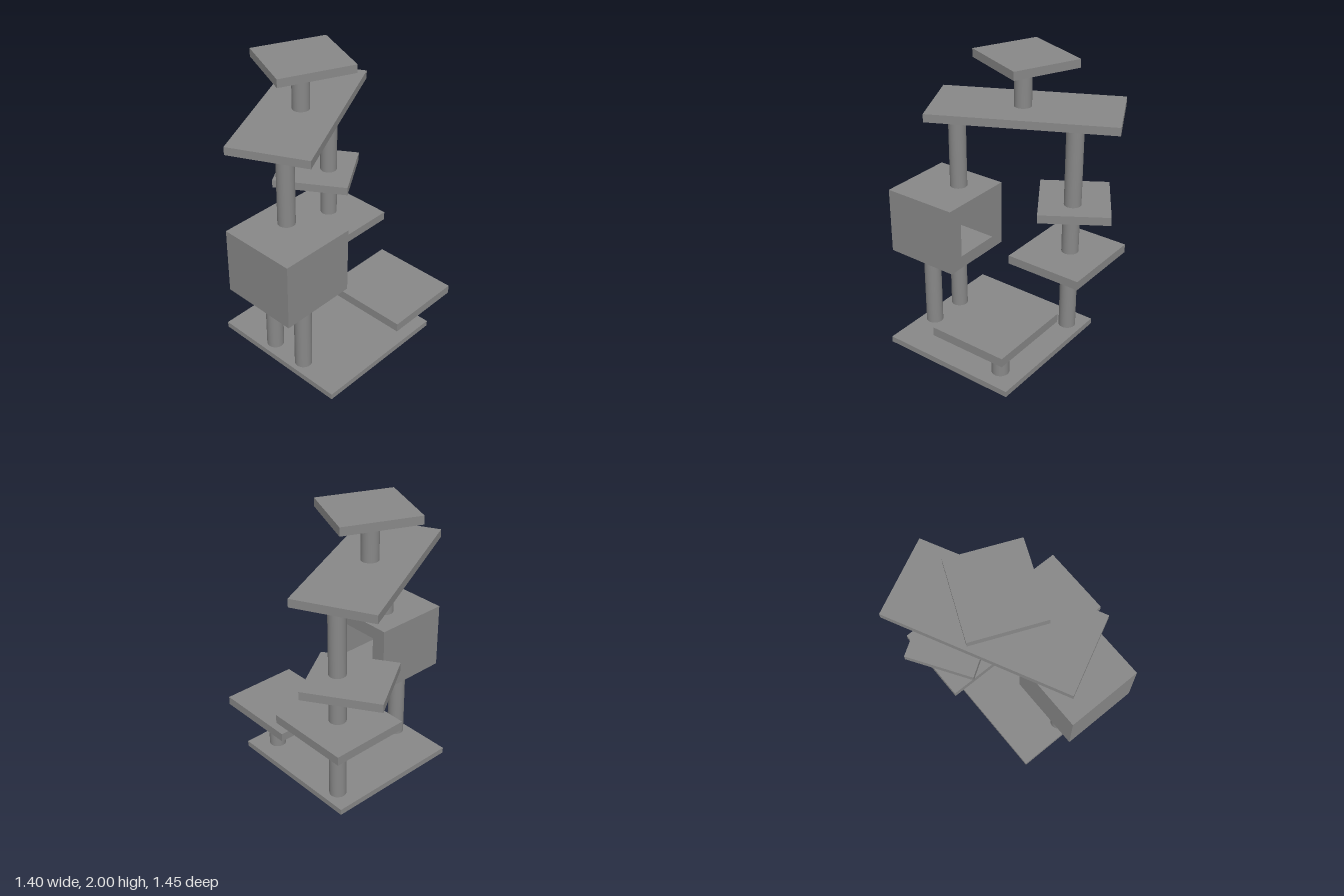
import * as THREE from 'three';

export function createModel() {
  const group = new THREE.Group();
  const material = new THREE.MeshStandardMaterial({ color: 0x888888 });

  function add(name, geometry, x, y, z, turn = 0) {
    const mesh = new THREE.Mesh(geometry, material);
    mesh.name = name;
    mesh.position.set(x, y, z);
    mesh.rotation.y = turn;
    group.add(mesh);
  }

  // Flat board between two heights, turned about its centre
  function board(name, x, z, width, depth, y0, y1, turn = 0) {
    add(name, new THREE.BoxGeometry(width, y1 - y0, depth), x, (y0 + y1) / 2, z, turn);
  }

  // Round post between two heights
  function post(name, x, z, y0, y1) {
    add(name, new THREE.CylinderGeometry(0.059, 0.059, y1 - y0, 32), x, (y0 + y1) / 2, z);
  }

  // Boards
  board('base', -0.043, 0.097, 0.995, 1.02, 0, 0.042);
  board('lowStep', 0.235, 0.421, 0.552, 0.605, 0.339, 0.4);
  board('middleShelf', 0.331, -0.258, 0.553, 0.605, 0.583, 0.645);
  board('upperShelf', 0.312, -0.353, 0.484, 0.53, 0.941, 1.0, 0.571);
  board('longPlatform', 0.016, -0.206, 1.253, 0.545, 1.59, 1.646, 0.464);
  board('topPerch', 0.017, -0.182, 0.524, 0.482, 1.943, 2.0, -0.403);

  // Posts
  post('lowStepPost', 0.295, 0.455, 0.04, 0.345);
  post('shelfPostLower', 0.346, -0.261, 0.04, 0.59);
  post('shelfPostMiddle', 0.346, -0.265, 0.64, 0.95);
  post('shelfPostUpper', 0.35, -0.271, 0.995, 1.595);
  post('housePostFront', -0.448, 0.257, 0.04, 0.59);
  post('housePostBack', -0.445, -0.019, 0.04, 0.59);
  post('platformPost', -0.371, 0.045, 1.05, 1.595);
  post('topPost', -0.002, -0.184, 1.64, 1.95);

  // House: a thick-walled shell opening towards +x, closed by a back wall
  const [w, h, length, wall] = [0.548, 0.47, 0.537, 0.105];
  const [y, z] = [0.818, 0.112];
  const outline = new THREE.Shape([
    new THREE.Vector2(-w / 2, -h / 2), new THREE.Vector2(w / 2, -h / 2),
    new THREE.Vector2(w / 2, h / 2), new THREE.Vector2(-w / 2, h / 2),
  ]);
  outline.holes.push(new THREE.Path([
    new THREE.Vector2(-0.167, -0.145), new THREE.Vector2(-0.167, 0.142),
    new THREE.Vector2(0.167, 0.142), new THREE.Vector2(0.167, -0.145),
  ]));
  const shell = new THREE.ExtrudeGeometry(outline, { depth: length - wall, bevelEnabled: false });
  add('houseShell', shell, -0.7 + wall, y, z, Math.PI / 2);
  board('houseBackWall', -0.7 + wall / 2, z, wall, w, y - h / 2, y + h / 2);

  return group;
}
